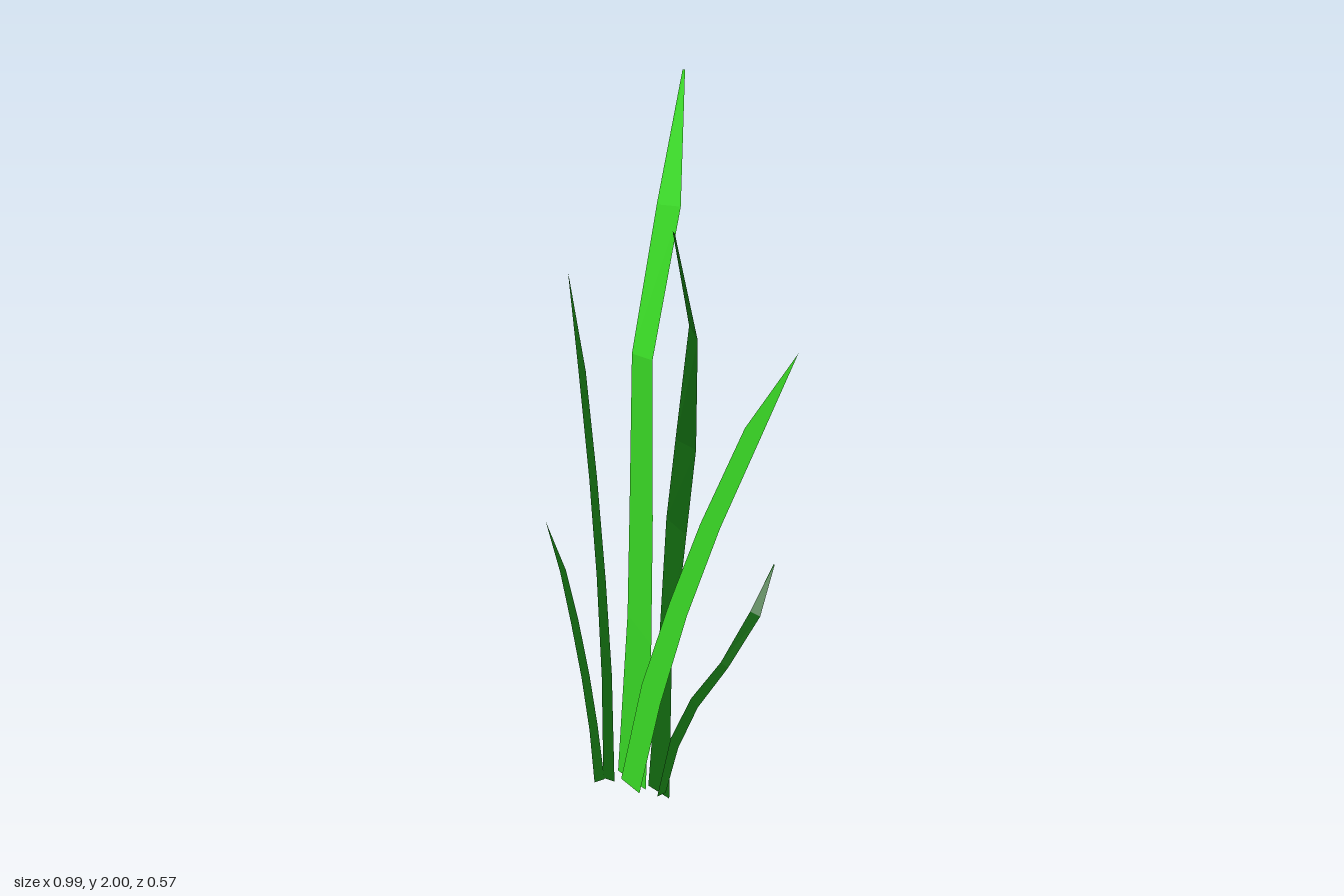
import * as THREE from 'three';

const brightGreen = new THREE.MeshStandardMaterial({ color: 0x39d825, side: THREE.DoubleSide, flatShading: true });
brightGreen.name = 'bright green';
const darkGreen = new THREE.MeshStandardMaterial({ color: 0x11670f, side: THREE.DoubleSide, flatShading: true });
darkGreen.name = 'dark green';

// Ribbon between a left and a right edge; zAt fills in depth where a point has none
function blade(name, material, left, right, zAt = () => 0) {
  const full = ([x, y, z]) => [x, y, z ?? zAt(x)];
  const pos = [];
  for (let i = 0; i < left.length - 1; i++) {
    const a = full(left[i]), b = full(right[i]);
    const c = full(right[i + 1]), d = full(left[i + 1]);
    pos.push(...a, ...b, ...c, ...a, ...c, ...d);
  }
  const geo = new THREE.BufferGeometry();
  geo.setAttribute('position', new THREE.Float32BufferAttribute(pos, 3));
  geo.computeVertexNormals();
  const mesh = new THREE.Mesh(geo, material);
  mesh.name = name;
  return mesh;
}

export function createModel() {
  const group = new THREE.Group();
  group.name = 'grassTuft';

  group.add(
    // Tallest blade, bending backwards
    blade('tallCentreBlade', brightGreen,
      [[-0.28, 0.02, -0.05], [-0.205, 0.5, -0.02], [-0.19, 0.8, -0.015], [-0.175, 1.24, -0.012], [-0.19, 1.64, -0.12], [-0.265, 2, -0.29]],
      [[-0.1, 0.02, 0.01], [-0.055, 0.45, 0.03], [-0.045, 0.8, 0.033], [-0.043, 1.24, 0.035], [-0.09, 1.64, -0.115], [-0.25, 2, -0.285]]),

    // Bright blade leaning right
    blade('leaningRightBlade', brightGreen,
      [[-0.175, 0.04], [-0.09, 0.33], [0.02, 0.58], [0.14, 0.82], [0.305, 1.1], [0.493, 1.315]],
      [[-0.1, 0.015], [-0.015, 0.29], [0.09, 0.56], [0.215, 0.82], [0.35, 1.06], [0.49, 1.31]],
      () => 0.034),

    // Dark blade behind, bending forwards
    blade('tallRightBlade', darkGreen,
      [[-0.1, 0.03, 0], [-0.06, 0.4, 0], [-0.045, 0.8, -0.018], [0.02, 1.03, 0.01], [0.165, 1.36, 0.1], [0.297, 1.625, 0.285]],
      [[-0.01, 0.015, 0.005], [0, 0.4, 0.005], [0.052, 0.77, 0], [0.13, 1.02, 0.04], [0.228, 1.33, 0.13], [0.305, 1.62, 0.285]]),

    // Dark blade leaning left
    blade('tallLeftBlade', darkGreen,
      [[-0.26, 0.02], [-0.267, 0.31], [-0.3, 0.6], [-0.35, 0.87], [-0.425, 1.17], [-0.495, 1.43]],
      [[-0.18, 0.035], [-0.195, 0.34], [-0.235, 0.6], [-0.293, 0.88], [-0.37, 1.17], [-0.488, 1.42]],
      x => 0.055 + 0.375 * (x + 0.18)),

    // Short outer blades
    blade('smallLeftBlade', darkGreen,
      [[-0.292, 0], [-0.312, 0.15], [-0.345, 0.3], [-0.388, 0.45], [-0.433, 0.59], [-0.495, 0.73]],
      [[-0.25, 0.02], [-0.277, 0.17], [-0.31, 0.31], [-0.355, 0.46], [-0.408, 0.6], [-0.49, 0.722]],
      () => 0.03),
    blade('smallRightBlade', darkGreen,
      [[-0.035, 0.02, 0.027], [0.02, 0.2, 0.028], [0.1, 0.33, 0.028], [0.205, 0.45, 0.02], [0.285, 0.6, -0.01], [0.288, 0.715, -0.095]],
      [[0, 0.04, 0.028], [0.05, 0.18, 0.028], [0.125, 0.31, 0.027], [0.23, 0.44, 0.017], [0.314, 0.59, -0.018], [0.292, 0.715, -0.095]]),
  );
  return group;
}
